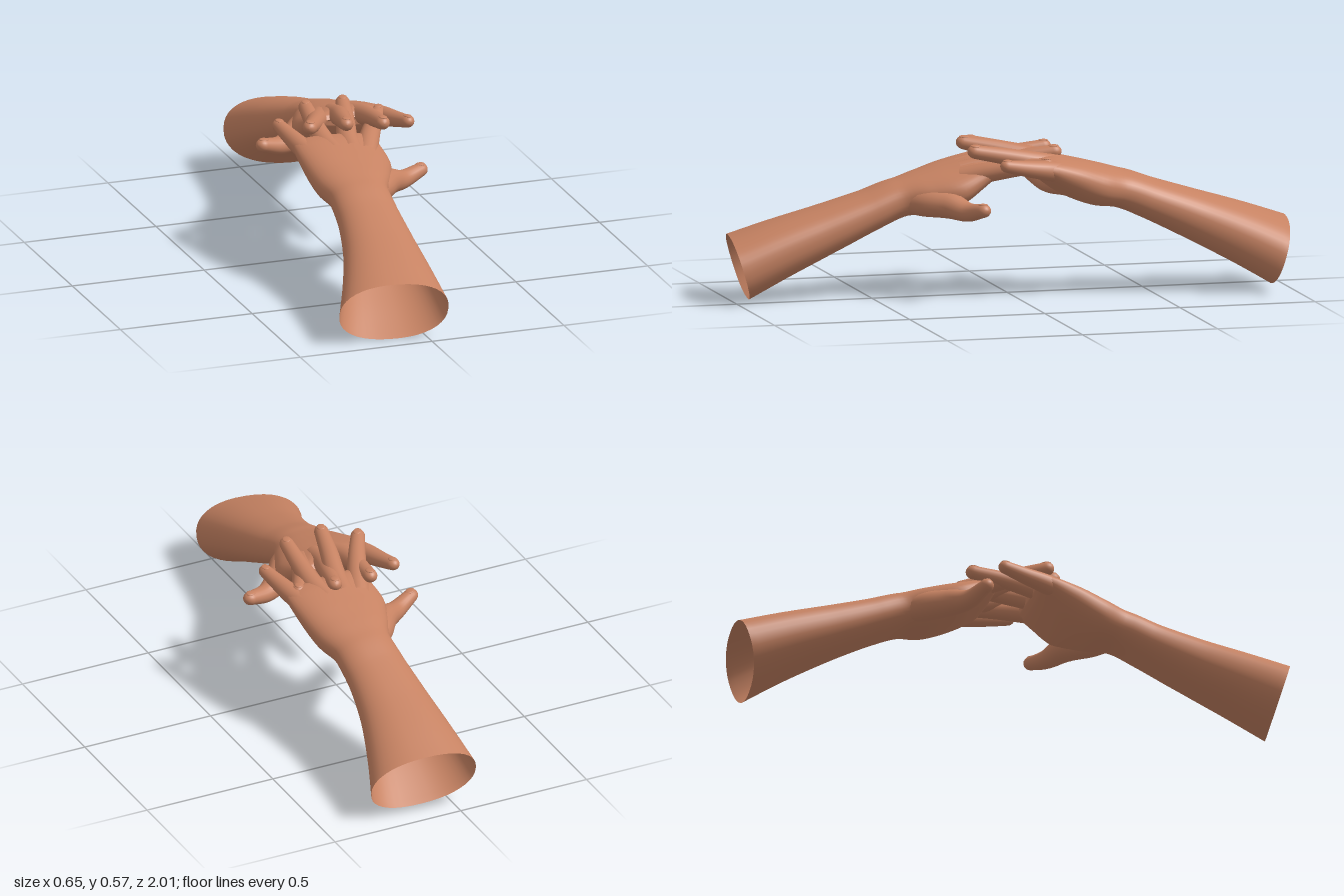
import * as THREE from 'three';

const skin = new THREE.MeshStandardMaterial({ color: 0xc68262, side: THREE.DoubleSide });
skin.name = 'skin';

// Smooth skin through closed rings of points
function loft(name, rings) {
  const n = rings[0].length, index = [];
  for (let i = 0; i < rings.length - 1; i++) {
    for (let j = 0; j < n; j++) {
      const a = i * n + j, b = i * n + (j + 1) % n;
      index.push(a, a + n, b, b, a + n, b + n);
    }
  }
  const geo = new THREE.BufferGeometry().setFromPoints(rings.flat());
  geo.setIndex(index);
  geo.computeVertexNormals();
  const mesh = new THREE.Mesh(geo, skin);
  mesh.name = name;
  return mesh;
}

// Forearm, wrist and palm: centre x, y, z, half width, half height, roll
const ARM = [
  [-0.13, 0.112, 0.96, 0.196, 0.114, 0.0],
  [-0.103, 0.175, 0.82, 0.165, 0.1, 0.0],
  [-0.077, 0.241, 0.66, 0.134, 0.084, 0.0],
  [-0.06, 0.306, 0.5, 0.114, 0.07, 0.0],
  [-0.055, 0.346, 0.4, 0.11, 0.066, 0.0],
  [-0.044, 0.367, 0.3, 0.143, 0.072, -0.05],
  [-0.032, 0.399, 0.2, 0.166, 0.066, -0.1],
  [-0.037, 0.435, 0.12, 0.162, 0.05, -0.07],
  [-0.037, 0.45, 0.085, 0.158, 0.037, -0.05],
  [-0.037, 0.457, 0.065, 0.146, 0.022, -0.04],
  [-0.037, 0.459, 0.058, 0.11, 0.004, -0.04],
];

function makeForearm() {
  const centre = new THREE.CatmullRomCurve3(ARM.map(s => new THREE.Vector3(s[0], s[1], s[2])));
  const size = new THREE.CatmullRomCurve3(ARM.map(s => new THREE.Vector3(s[3], s[4], s[5])));
  const rings = [], steps = 60, sides = 40;
  const round = v => Math.sign(v) * Math.pow(Math.abs(v), 0.88);
  for (let i = 0; i <= steps; i++) {
    const c = centre.getPoint(i / steps), s = size.getPoint(i / steps);
    const skew = 0.15 * Math.max(0, c.z - 0.6) / 0.36;
    const ring = [];
    for (let j = 0; j < sides; j++) {
      const a = j / sides * Math.PI * 2;
      const u = round(Math.cos(a)) * s.x, v = round(Math.sin(a)) * s.y;
      ring.push(new THREE.Vector3(c.x + u, c.y + v + u * s.z, c.z + v * 0.3 + u * skew));
    }
    rings.push(ring);
  }
  return loft('forearmAndPalm', rings);
}

// Fingers: centre x, y, z and radius from the palm to the tip
const DIGITS = {
  littleFinger: [[-0.14, 0.435, 0.17, 0.04], [-0.163, 0.452, 0.085, 0.037], [-0.178, 0.468, 0, 0.03], [-0.19, 0.483, -0.07, 0.024]],
  ringFinger: [[-0.065, 0.442, 0.17, 0.04], [-0.077, 0.463, 0.085, 0.038], [-0.072, 0.488, -0.03, 0.032], [-0.06, 0.51, -0.15, 0.026]],
  middleFinger: [[0.0, 0.441, 0.17, 0.04], [0.012, 0.463, 0.085, 0.038], [0.047, 0.49, -0.03, 0.033], [0.08, 0.512, -0.15, 0.026]],
  indexFinger: [[0.05, 0.427, 0.18, 0.04], [0.09, 0.449, 0.095, 0.038], [0.14, 0.468, 0, 0.032], [0.193, 0.484, -0.09, 0.026]],
  thumb: [[-0.02, 0.342, 0.39, 0.04], [0.05, 0.344, 0.31, 0.055], [0.11, 0.338, 0.24, 0.05], [0.18, 0.323, 0.195, 0.036], [0.261, 0.338, 0.16, 0.026]],
};

function makeDigit(name, pts) {
  const group = new THREE.Group();
  group.name = name;
  const path = new THREE.CatmullRomCurve3(pts.map(p => new THREE.Vector3(p[0], p[1], p[2])));
  const radii = new THREE.CatmullRomCurve3(pts.map(p => new THREE.Vector3(p[3], 0, 0)));
  const up = new THREE.Vector3(0, 1, 0);
  const rings = [], steps = 24, cap = 7, sides = 20;
  let t, side, lift, c, r;
  for (let i = 0; i <= steps + cap; i++) {
    const k = Math.min(i / steps, 1);
    const a = Math.max(0, i - steps) / cap * Math.PI / 2;
    t = path.getTangent(k);
    side = new THREE.Vector3().crossVectors(t, up).normalize();
    lift = new THREE.Vector3().crossVectors(side, t);
    c = path.getPoint(k);
    r = radii.getPoint(k).x;
    const ring = [];
    for (let j = 0; j < sides; j++) {
      const b = j / sides * Math.PI * 2, w = r * Math.max(Math.cos(a), 0.001);
      ring.push(c.clone().addScaledVector(t, r * 1.1 * Math.sin(a))
        .addScaledVector(side, Math.cos(b) * w).addScaledVector(lift, Math.sin(b) * w * 0.95));
    }
    rings.push(ring);
  }
  group.add(loft(name + 'Flesh', rings));

  // Nail: a flattened oval sunk into the upper side of the tip
  const nail = new THREE.Mesh(new THREE.SphereGeometry(1, 16, 10), skin);
  nail.name = name + 'Nail';
  nail.quaternion.setFromRotationMatrix(new THREE.Matrix4().makeBasis(side, lift, t.clone().negate()));
  nail.rotateX(-0.15);
  nail.scale.set(r * 0.6, r * 0.18, r * 0.75);
  nail.position.copy(c).addScaledVector(lift, r * 0.81).addScaledVector(t, r * 0.1);
  group.add(nail);
  return group;
}

function makeArm(name) {
  const arm = new THREE.Group();
  arm.name = name;
  arm.add(makeForearm());
  for (const [digit, pts] of Object.entries(DIGITS)) arm.add(makeDigit(digit, pts));
  return arm;
}

export function createModel() {
  const model = new THREE.Group();
  model.name = 'interlacedArms';
  model.add(makeArm('frontArm'));

  // The second arm reaches in from behind, slightly raised and rolled
  const back = makeArm('backArm');
  back.rotation.set(0.008, Math.PI + 0.027, 0.08);
  back.position.set(0.017, 0.027, 0);
  model.add(back);
  return model;
}
